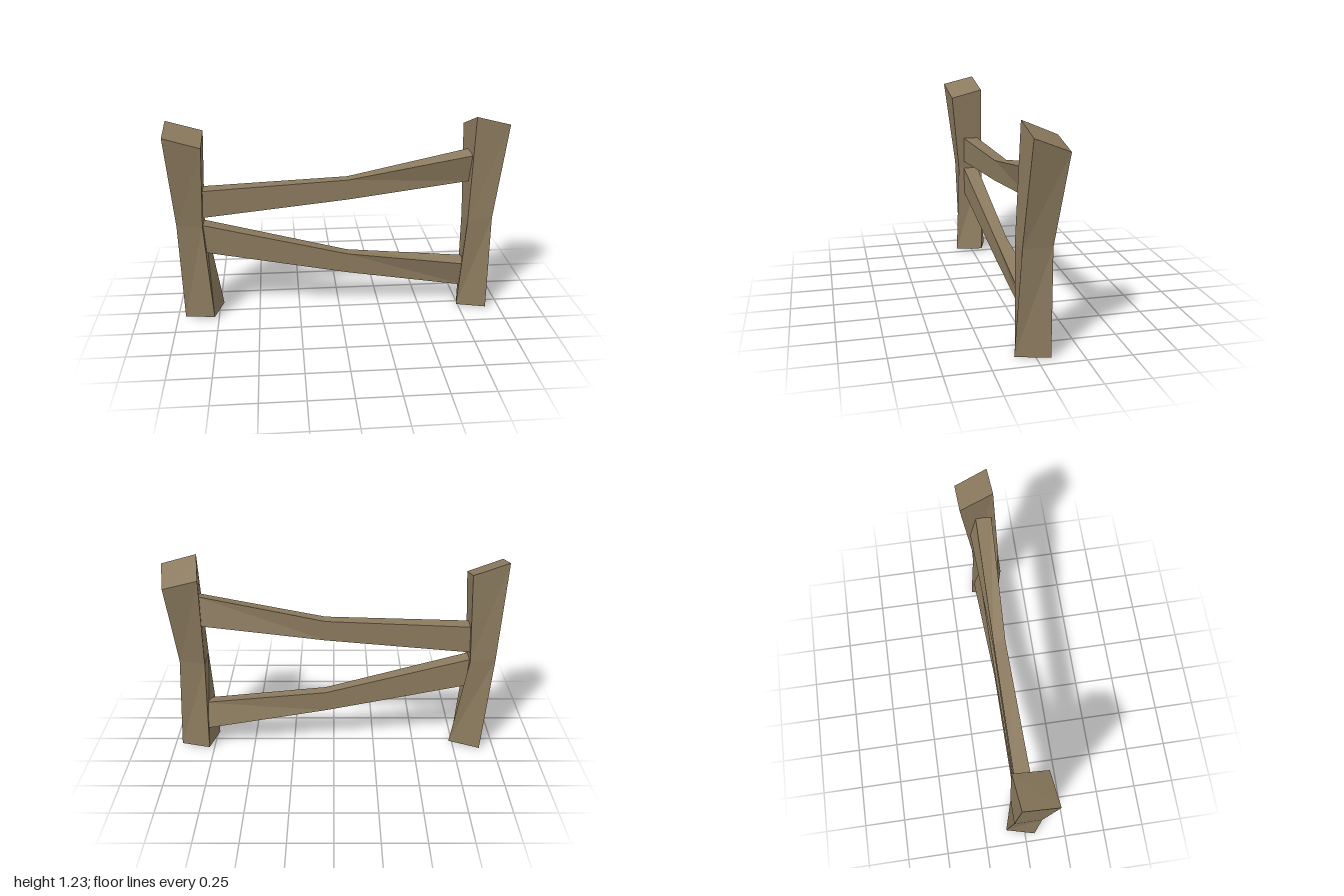
import * as THREE from 'three';

// Skin a beam through four-cornered sections, listed counterclockwise seen from the far end.
function loft(sections) {
  const pos = [];
  const quad = (a, b, c, d) => pos.push(...a, ...b, ...c, ...a, ...c, ...d);
  for (let s = 0; s < sections.length - 1; s++) {
    const p = sections[s], q = sections[s + 1];
    for (let i = 0; i < 4; i++) {
      const j = (i + 1) % 4;
      quad(p[i], p[j], q[j], q[i]);
    }
  }
  quad(...[...sections[0]].reverse());
  quad(...sections[sections.length - 1]);
  const geometry = new THREE.BufferGeometry();
  geometry.setAttribute('position', new THREE.Float32BufferAttribute(pos, 3));
  geometry.computeVertexNormals();
  return geometry;
}

// Rail section in the y-z plane: bottom front, bottom back, top back, top front.
// lean tips the bottom backwards and raises the back edge.
function railSection(x, y0, y1, front, back, lean = 0) {
  const lift = lean * 0.5;
  return [
    [x, y0, front - lean],
    [x, y0 + lift, back - lean],
    [x, y1 + lift, back],
    [x, y1, front],
  ];
}

export function createModel() {
  const group = new THREE.Group();
  const wood = new THREE.MeshStandardMaterial({ color: 0x8b7a5e });
  wood.name = 'weathered wood';

  const add = (name, sections) => {
    const mesh = new THREE.Mesh(loft(sections), wood);
    mesh.name = name;
    group.add(mesh);
  };

  // Posts: twisted foot, narrow waist, slanted top
  add('rightPost', [
    [[-0.955, 0, 0.06], [-0.775, 0.015, 0.11], [-0.725, 0.022, -0.06], [-0.91, 0.005, -0.115]],
    [[-0.965, 0.61, 0.08], [-0.815, 0.6, 0.08], [-0.815, 0.6, -0.08], [-0.965, 0.61, -0.08]],
    [[-1, 1.165, 0.145], [-0.79, 1.095, 0.125], [-0.79, 1.145, -0.075], [-1, 1.212, -0.055]],
  ]);
  add('leftPost', [
    [[0.735, 0.012, 0.065], [0.91, 0.014, 0.115], [0.955, 0.012, -0.07], [0.78, 0.008, -0.11]],
    [[0.772, 0.58, 0.08], [0.92, 0.6, 0.08], [0.92, 0.6, -0.08], [0.772, 0.58, -0.08]],
    [[0.795, 1.225, 0.06], [1, 1.172, 0.05], [0.965, 1.09, -0.148], [0.765, 1.137, -0.14]],
  ]);

  // Rails: thinner in the middle, tipped at the left end
  add('upperRail', [
    railSection(-0.83, 0.644, 0.81, 0.045, -0.05),
    railSection(0.05, 0.725, 0.848, 0.02, -0.05),
    railSection(0.8, 0.818, 0.988, 0.045, -0.05, 0.04),
  ]);
  add('lowerRail', [
    railSection(-0.83, 0.424, 0.6, 0.045, -0.05),
    railSection(0.05, 0.242, 0.367, 0.02, -0.05),
    railSection(0.8, 0.115, 0.278, 0.045, -0.05, 0.04),
  ]);

  return group;
}
